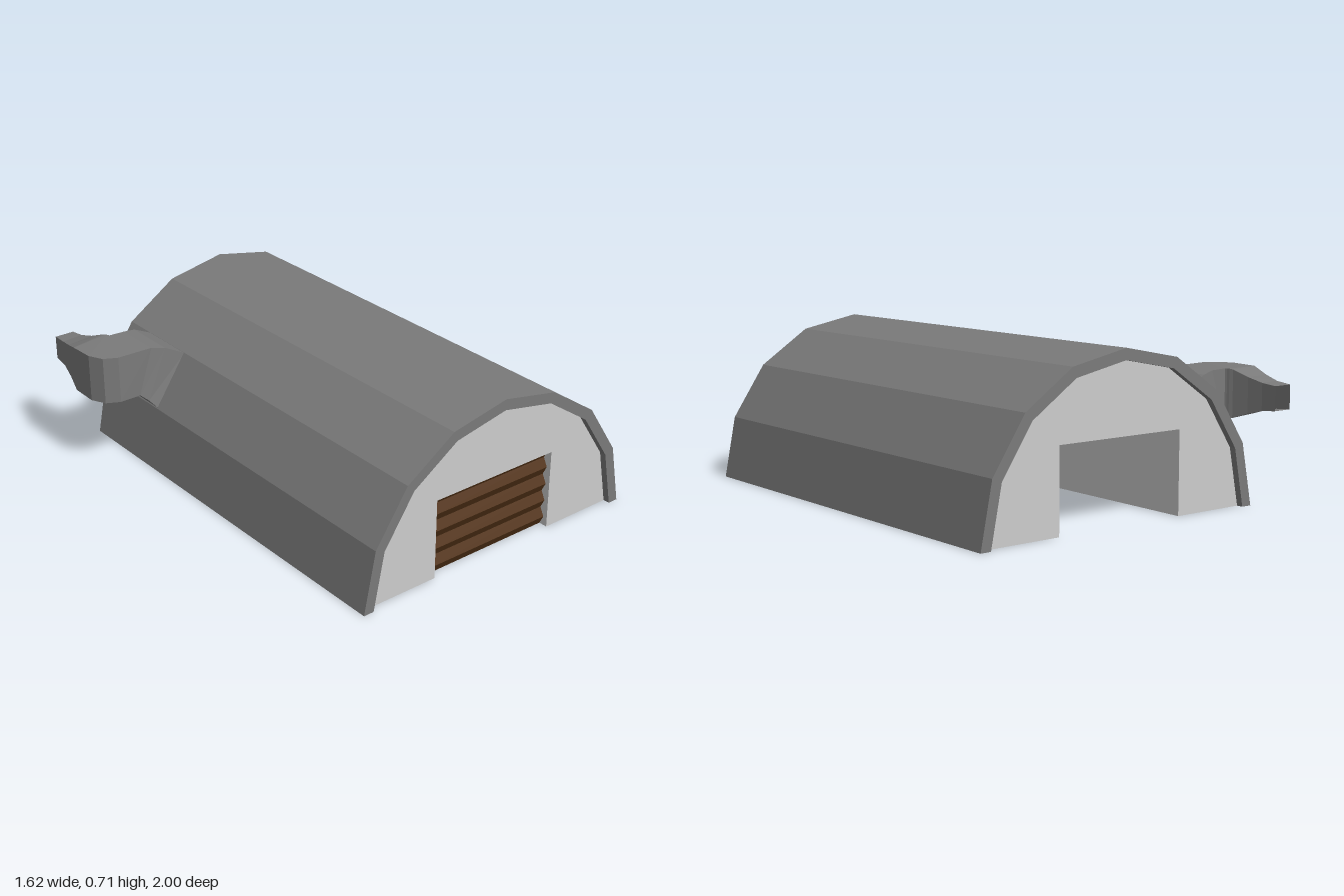
import * as THREE from 'three';

const CX = 0.1;                        // centre line of the vault
const OUTER = 0.71, INNER = 0.662, SIDES = 8;
const Z_FRONT = 1, Z_BACK = -0.935, RECESS = 0.03;
const DOOR = { x0: -0.22, x1: 0.41, h: 0.357 };

const make = (color) => new THREE.MeshStandardMaterial({ color, flatShading: true, side: THREE.DoubleSide });

// Points of a faceted half circle, from the +x foot to the -x foot
function arch(radius) {
  return Array.from({ length: SIDES + 1 }, (_, i) => {
    const a = (i / SIDES) * Math.PI;
    return new THREE.Vector2(CX + radius * Math.cos(a), radius * Math.sin(a));
  });
}

// Skin a list of equally sized point loops
function loft(sections, closed) {
  const n = sections[0].length, index = [];
  const spans = closed ? n : n - 1;
  for (let s = 0; s < sections.length - 1; s++) {
    for (let i = 0; i < spans; i++) {
      const a = s * n + i, b = s * n + (i + 1) % n;
      index.push(a, b, a + n, b, b + n, a + n);
    }
  }
  const geometry = new THREE.BufferGeometry();
  geometry.setAttribute('position', new THREE.Float32BufferAttribute(sections.flat(2), 3));
  geometry.setIndex(index);
  const flat = geometry.toNonIndexed();
  flat.computeVertexNormals();
  return flat;
}

export function createModel() {
  const group = new THREE.Group();
  const metal = make(0x7a7a7a), wall = make(0xcccccc), wood = make(0x523216);
  const add = (name, geometry, material) => {
    const mesh = new THREE.Mesh(geometry, material);
    mesh.name = name;
    group.add(mesh);
    return mesh;
  };

  // Thick arched roof
  const ring = new THREE.Shape([...arch(OUTER), ...arch(INNER).reverse()]);
  add('roofShell', new THREE.ExtrudeGeometry(ring, { depth: Z_FRONT - Z_BACK, bevelEnabled: false }), metal)
    .position.z = Z_BACK;

  // End walls, notched for the doorways
  const gable = new THREE.Shape([
    ...arch(INNER),
    new THREE.Vector2(DOOR.x0, 0), new THREE.Vector2(DOOR.x0, DOOR.h),
    new THREE.Vector2(DOOR.x1, DOOR.h), new THREE.Vector2(DOOR.x1, 0),
  ]);
  const zFront = Z_FRONT - RECESS, zBack = Z_BACK + RECESS;
  add('frontWall', new THREE.ShapeGeometry(gable), wall).position.z = zFront;
  const back = add('backWall', new THREE.ShapeGeometry(gable), wall);
  back.scale.x = -1;                   // mirrored so that it faces the back
  back.rotation.y = Math.PI;
  back.scale.set(1, 1, -1);
  back.rotation.y = 0;
  back.position.z = zBack;

  // Doorway linings: two sides and a ceiling
  const lining = (z) => [
    [DOOR.x0, 0, z], [DOOR.x0, DOOR.h, z], [DOOR.x1, DOOR.h, z], [DOOR.x1, 0, z],
  ];
  const tunnelEnd = 0.7;
  add('doorFrame', loft([lining(zFront), lining(zFront - 0.05)], false), wall);
  add('innerRoom', loft([lining(zBack), lining(tunnelEnd)], false), wall);
  add('innerRoomEnd', new THREE.PlaneGeometry(DOOR.x1 - DOOR.x0, DOOR.h), wall)
    .position.set((DOOR.x0 + DOOR.x1) / 2, DOOR.h / 2, tunnelEnd);

  // Corrugated shutter
  const folds = 9, slats = [];
  for (let i = 0; i <= folds; i++) {
    const y = DOOR.h * (1 - i / folds), z = zFront - (i % 2 ? 0.04 : 0.02);
    slats.push([[DOOR.x0, y, z], [DOOR.x1, y, z]]);
  }
  add('shutterDoor', loft(slats, false), wood);

  // Side duct: a flared foot on the roof, then a bend that narrows to the back
  const foot = [ // top x, top y, bottom x, bottom y, front z, back z
    [-0.4, 0.5, -0.55, 0.273, -0.505, -0.78],
    [-0.49, 0.545, -0.585, 0.315, -0.522, -0.77],
    [-0.55, 0.557, -0.62, 0.346, -0.536, -0.757],
  ].map(([tx, ty, bx, by, zf, zb]) => [[tx, ty, zf], [tx, ty, zb], [bx, by, zb], [bx, by, zf]]);
  const bend = [ // outer x, outer z, inner x, inner z, bottom y, top y
    [-0.72, -0.535, -0.628, -0.757, 0.346, 0.56],
    [-0.78, -0.565, -0.632, -0.765, 0.346, 0.56],
    [-0.812, -0.63, -0.635, -0.775, 0.346, 0.56],
    [-0.815, -0.75, -0.642, -0.79, 0.35, 0.557],
    [-0.79, -0.84, -0.66, -0.86, 0.375, 0.53],
    [-0.772, -0.92, -0.671, -0.93, 0.393, 0.512],
    [-0.765, -1, -0.675, -1, 0.4, 0.505],
  ].map(([ox, oz, ix, iz, y0, y1]) => [[ox, y1, oz], [ix, y1, iz], [ix, y0, iz], [ox, y0, oz]]);
  add('sideDuct', loft([...foot, ...bend], true), metal);

  return group;
}
